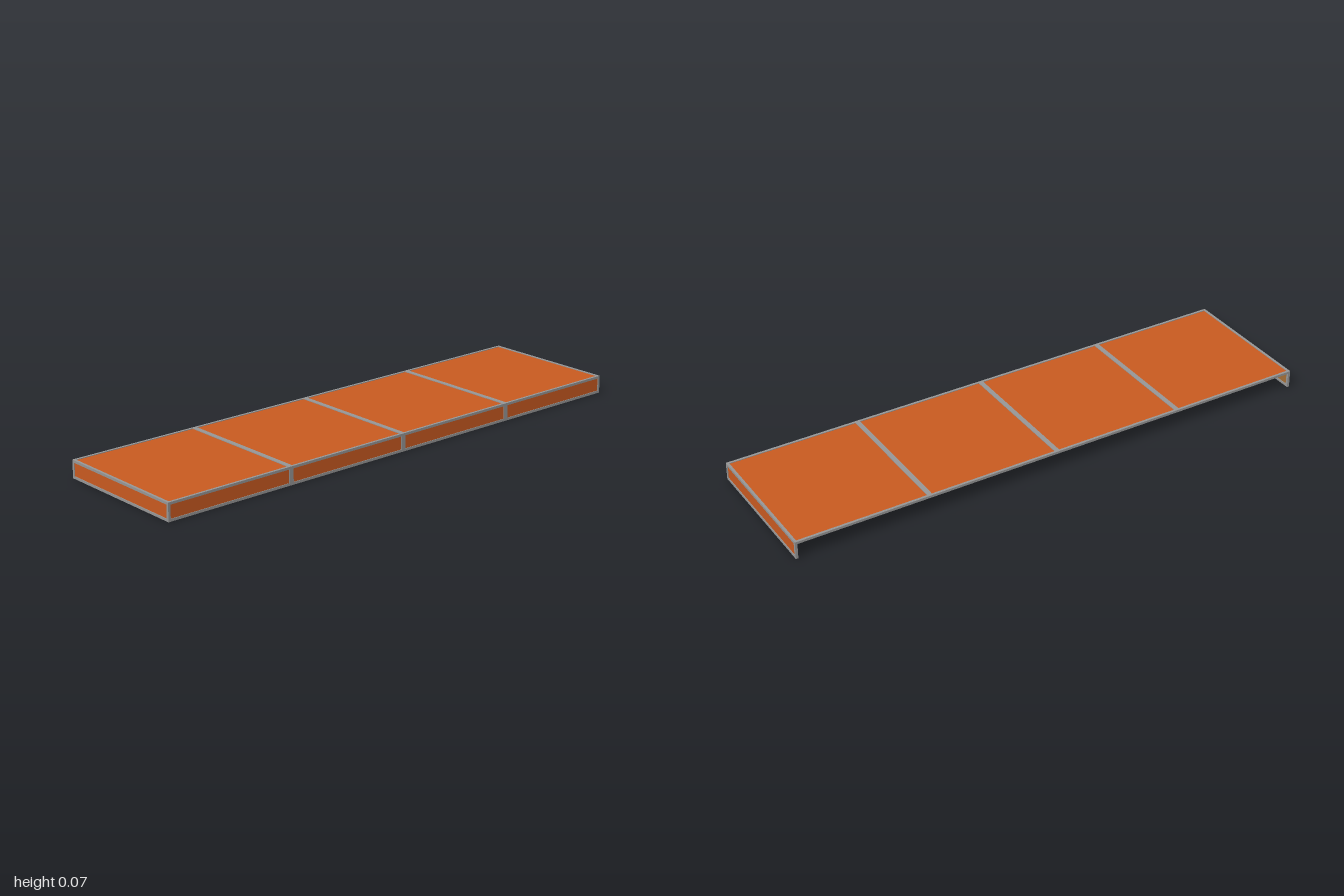
import * as THREE from 'three';

const W = 2, H = 0.066, D = 0.53; // overall size
const T = 0.009;                  // frame bar thickness
const P = 0.004;                  // panel thickness

export function createModel() {
  const group = new THREE.Group();
  const mat = (name, color) => {
    const m = new THREE.MeshStandardMaterial({ color });
    m.name = name;
    return m;
  };
  const orange = mat('orange canvas', 0xc85a20);
  const tan = mat('tan lining', 0xa46e36);
  const grey = mat('grey frame', 0x969696);

  const box = (name, sx, sy, sz, x, y, z, material) => {
    const mesh = new THREE.Mesh(new THREE.BoxGeometry(sx, sy, sz), material);
    mesh.name = name;
    mesh.position.set(x, y, z);
    group.add(mesh);
  };
  // orange everywhere but on the inward face (order +x -x +y -y +z -z)
  const lined = (inner) => Array.from({ length: 6 }, (_, i) => (i === inner ? tan : orange));

  const ex = W / 2 - T / 2, ez = D / 2 - T / 2, top = H - T / 2, bottom = T / 2;

  // four bays of canvas on the roof and the front skirt
  for (let i = 0; i < 4; i++) {
    const x = -0.75 + i * 0.5;
    box('roofPanel', 0.5 - T, P, D - T, x, top, 0, lined(3));
    box('frontPanel', 0.5 - T, H - T, P, x, H / 2, ez, lined(5));
  }

  // end skirts
  box('rightPanel', P, H - T, D - T, -ex, H / 2, 0, lined(0));
  box('leftPanel', P, H - T, D - T, ex, H / 2, 0, lined(1));

  // long rails: the back stays open below the roof
  box('frontTopRail', W, T, T, 0, top, ez, grey);
  box('backTopRail', W, T, T, 0, top, -ez, grey);
  box('frontBottomRail', W, T, T, 0, bottom, ez, grey);

  // end frames
  for (const s of [-1, 1]) {
    box('endTopRail', T, T, D - 2 * T, s * ex, top, 0, grey);
    box('endBottomRail', T, T, D - 2 * T, s * ex, bottom, 0, grey);
    for (const z of [-ez, ez]) {
      const low = z < 0 ? 0 : T; // back posts reach the ground
      box('cornerPost', T, H - T - low, T, s * ex, (H - T + low) / 2, z, grey);
    }
  }

  // ribs between the bays
  for (const x of [-0.5, 0, 0.5]) {
    box('roofRib', 2 * T, T, D - 2 * T, x, top, 0, grey);
    box('frontRib', 2 * T, H - 2 * T, T, x, H / 2, ez, grey);
  }
  return group;
}
